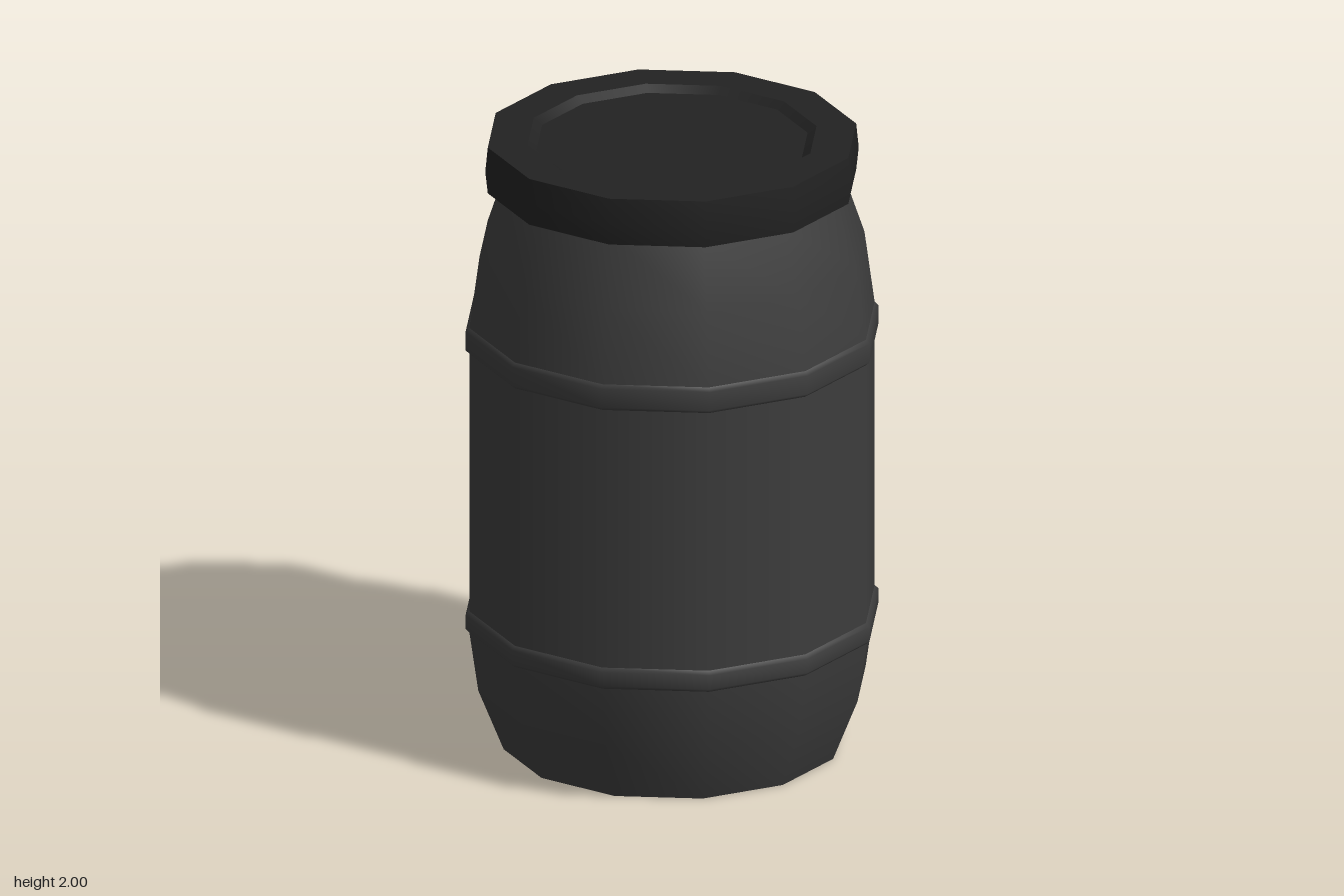
import * as THREE from 'three';

const SIDES = 12;

export function createModel() {
  const barrel = new THREE.Group();
  barrel.name = 'barrel';

  const bodyPlastic = new THREE.MeshStandardMaterial({ color: 0x3d3d3d, side: THREE.DoubleSide });
  bodyPlastic.name = 'charcoal plastic';
  const lidPlastic = new THREE.MeshStandardMaterial({ color: 0x222222, side: THREE.DoubleSide });
  lidPlastic.name = 'black plastic';

  // Each smooth band is its own lathe, so the seams between bands stay sharp
  function band(name, material, profile) {
    const points = profile.map(([r, y]) => new THREE.Vector2(r, y));
    const mesh = new THREE.Mesh(new THREE.LatheGeometry(points, SIDES), material);
    mesh.name = name;
    barrel.add(mesh);
  }

  // Hollow body, open at the bottom
  band('lowerWall', bodyPlastic, [[0.53, 0], [0.61, 0.2], [0.638, 0.395]]);
  band('middleWall', bodyPlastic, [[0.638, 0.465], [0.638, 1.32]]);
  band('upperWall', bodyPlastic, [[0.638, 1.405], [0.606, 1.64], [0.535, 1.85]]);

  // Raised hoops around the body
  for (const [name, y0, y1] of [['lowerHoop', 0.395, 0.465], ['upperHoop', 1.32, 1.405]]) {
    band(name, bodyPlastic, [[0.638, y0], [0.65, y0 + 0.012], [0.65, y1 - 0.012], [0.638, y1]]);
  }

  // Overhanging screw lid with a shallow recess in the top
  band('lidUnderside', lidPlastic, [[0.53, 1.848], [0.58, 1.848]]);
  band('lidSide', lidPlastic, [[0.58, 1.848], [0.588, 1.92], [0.58, 2]]);
  band('lidRim', lidPlastic, [[0.58, 2], [0.455, 2]]);
  band('lidStep', lidPlastic, [[0.455, 2], [0.427, 1.98]]);
  band('lidPanel', lidPlastic, [[0.427, 1.98], [0, 1.98]]);

  return barrel;
}
